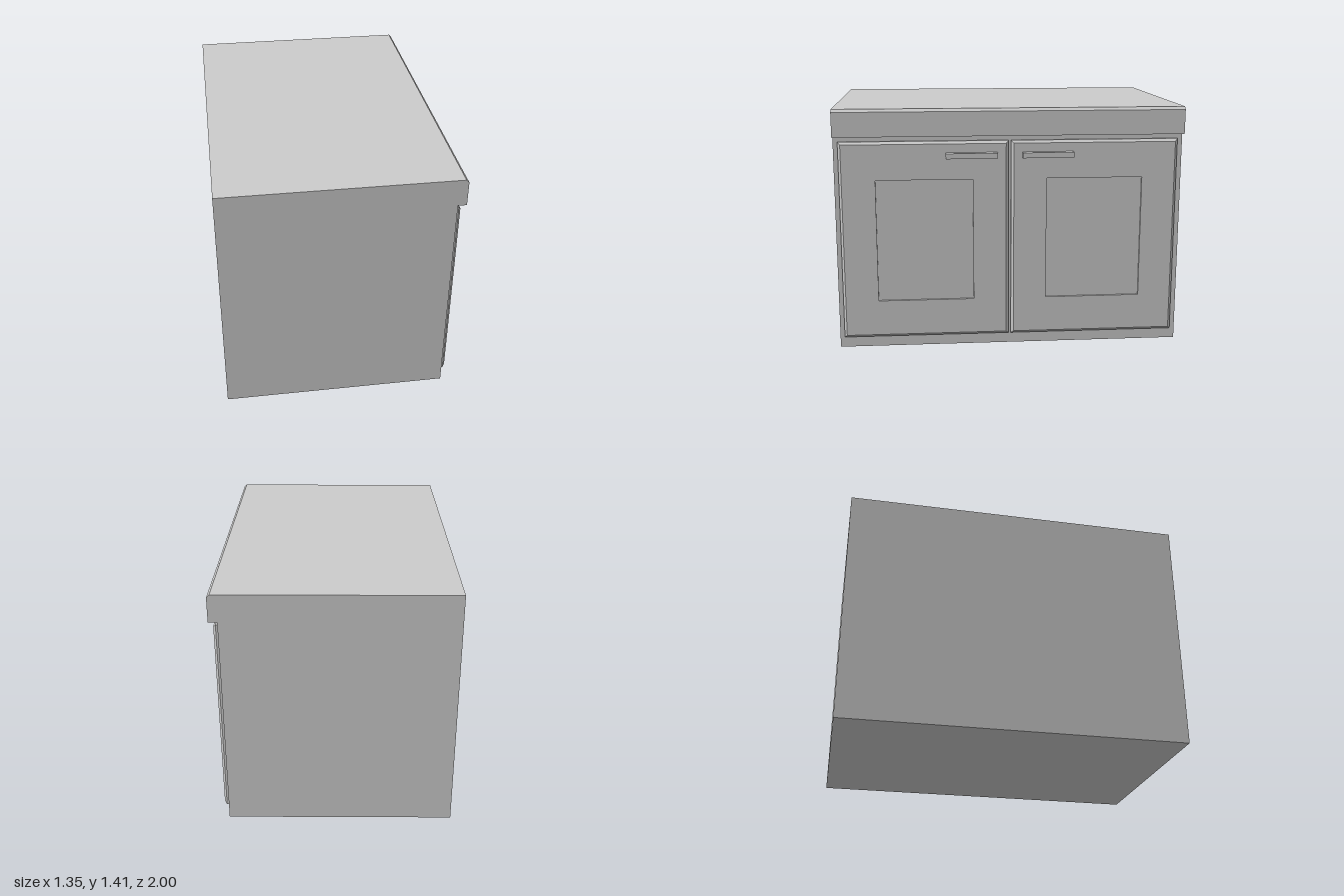
import * as THREE from 'three';

const material = new THREE.MeshStandardMaterial({ color: 0xcccccc, flatShading: true });

function addMesh(parent, name, geometry) {
  const mesh = new THREE.Mesh(geometry, material);
  mesh.name = name;
  parent.add(mesh);
  return mesh;
}

// Box given by its minimum and maximum corners
function boxBetween(min, max) {
  const size = max.map((v, i) => v - min[i]);
  const mid = max.map((v, i) => (v + min[i]) / 2);
  return new THREE.BoxGeometry(...size).translate(...mid);
}

// Rectangular ring in the plane x, counter-clockwise seen from +x
function ring(x, z0, z1, y0, y1) {
  return [[x, y0, z1], [x, y0, z0], [x, y1, z0], [x, y1, z1]];
}

// Skin successive rings and close the last one
function loftRings(rings) {
  const points = [];
  const quad = (a, b, c, d) => points.push(...a, ...b, ...c, ...a, ...c, ...d);
  for (let k = 0; k < rings.length - 1; k++) {
    for (let i = 0; i < 4; i++) {
      const j = (i + 1) % 4;
      quad(rings[k][i], rings[k][j], rings[k + 1][j], rings[k + 1][i]);
    }
  }
  quad(...rings[rings.length - 1]);
  const geometry = new THREE.BufferGeometry();
  geometry.setAttribute('position', new THREE.Float32BufferAttribute(points, 3));
  geometry.computeVertexNormals();
  return geometry;
}

// Chamfered door with a recessed centre panel
function doorGeometry(z0, z1) {
  const back = 0.605, edge = 0.621, face = 0.635, c = 0.015;
  const y0 = 0.065, y1 = 1.22;
  const panel = [z0 + 0.205, z1 - 0.205, 0.287, 1.0];
  return loftRings([
    ring(back, z0, z1, y0, y1),
    ring(edge, z0, z1, y0, y1),
    ring(face, z0 + c, z1 - c, y0 + c, y1 - c),
    ring(face, ...panel),
    ring(face - 0.012, ...panel),
  ]);
}

export function createModel() {
  const group = new THREE.Group();
  group.name = 'cabinet';

  addMesh(group, 'carcass', boxBetween([-0.678, 0, -1], [0.606, 1.25, 1]));

  // Countertop with a chamfered overhanging edge, extruded along z
  const profile = new THREE.Shape([
    [-0.678, 1.25], [0.655, 1.25], [0.655, 1.39], [0.639, 1.406], [-0.678, 1.406],
  ].map(([x, y]) => new THREE.Vector2(x, y)));
  const top = new THREE.ExtrudeGeometry(profile, { depth: 2, bevelEnabled: false });
  addMesh(group, 'countertop', top.translate(0, 0, -1));

  // Pair of doors with handles near the centre
  for (const side of [1, -1]) {
    const name = side > 0 ? 'left' : 'right';
    const centre = 0.002 + side * 0.489;
    addMesh(group, name + 'Door', doorGeometry(centre - 0.482, centre + 0.482));
    const h = 0.003 + side * 0.218;
    addMesh(group, name + 'Handle', boxBetween([0.63, 1.124, h - 0.147], [0.674, 1.155, h + 0.147]));
  }
  return group;
}
